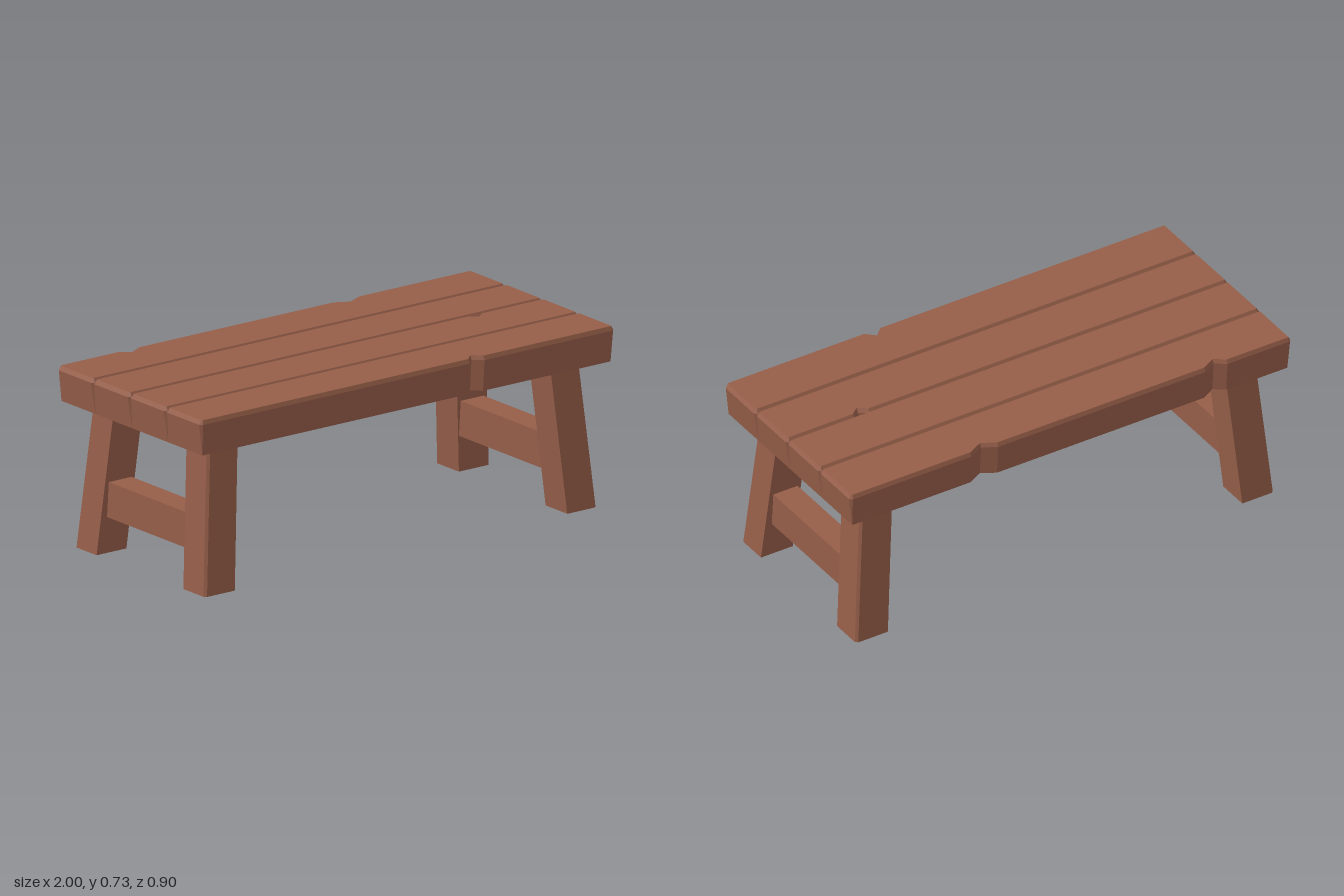
import * as THREE from 'three';

const wood = new THREE.MeshStandardMaterial({ color: 0x965e49 });
wood.name = 'reddish brown wood';

// Flat-faced solid through stacked outlines: levels = [{ y, pts: [[x, z], ...] }], from bottom to top
function loft(levels) {
  const pos = [];
  const tri = (...corners) => corners.forEach(([l, i]) => {
    const [x, z] = levels[l].pts[i];
    pos.push(x, levels[l].y, z);
  });
  const n = levels[0].pts.length, last = levels.length - 1;
  for (let l = 0; l < last; l++) {
    for (let i = 0; i < n; i++) {
      const j = (i + 1) % n;
      tri([l, i], [l, j], [l + 1, j]);
      tri([l, i], [l + 1, j], [l + 1, i]);
    }
  }
  for (const l of [0, last]) {
    const flat = levels[l].pts.map(([x, z]) => new THREE.Vector2(x, -z));
    for (const [a, b, c] of THREE.ShapeUtils.triangulateShape(flat, [])) {
      if (l === 0) tri([l, a], [l, c], [l, b]);
      else tri([l, a], [l, b], [l, c]);
    }
  }
  const geo = new THREE.BufferGeometry();
  geo.setAttribute('position', new THREE.Float32BufferAttribute(pos, 3));
  geo.computeVertexNormals();
  return geo;
}

function addMesh(group, name, geo) {
  const mesh = new THREE.Mesh(geo, wood);
  mesh.name = name;
  group.add(mesh);
  return mesh;
}

// Plank outline with cut corners (c) and V notches [x start, x tip, x end, depth] on either long edge
function plankOutline(hx, zFront, zBack, c, frontNotches, backNotches) {
  const pts = [[-hx, zFront - c], [-hx + c, zFront]];
  for (const [a, m, b, d] of frontNotches) pts.push([a, zFront], [m, zFront - d], [b, zFront]);
  pts.push([hx - c, zFront], [hx, zFront - c], [hx, zBack + c], [hx - c, zBack]);
  for (const [a, m, b, d] of backNotches) pts.push([b, zBack], [m, zBack + d], [a, zBack]);
  pts.push([-hx + c, zBack], [-hx, zBack + c]);
  return pts;
}

export function createModel() {
  const model = new THREE.Group();
  model.name = 'bench';

  // Table top: four bevelled planks, listed front to back
  const planks = [
    { z: [0.451, 0.228], front: [[0.297, 0.334, 0.37, 0.035]], back: [] },
    { z: [0.228, 0.002], front: [], back: [[0.625, 0.66, 0.695, 0.028]] },
    { z: [0.002, -0.228], front: [], back: [] },
    { z: [-0.228, -0.451], front: [], back: [[0.33, 0.388, 0.452, 0.032], [-0.709, -0.666, -0.607, 0.032]] },
  ];
  planks.forEach(({ z: [zf, zb], front, back }, i) => {
    const level = (y, hx, outer, inner, c) => ({
      y,
      pts: plankOutline(hx, zf - (i === 0 ? outer : inner), zb + (i === 3 ? outer : inner), c, front, back),
    });
    addMesh(model, 'plank' + (i + 1), loft([
      level(0.585, 0.986, 0.009, 0, 0.0005),
      level(0.71, 1, 0, 0, 0.011),
      level(0.727, 0.99, 0.007, 0.011, 0.004),
    ]));
  });

  // Splayed legs with a chamfered outer corner
  for (const sx of [1, -1]) {
    for (const sz of [1, -1]) {
      const outline = (xo, xi, zo, zi, c = 0.01) => {
        const pts = [[xi, zo], [xo - c, zo], [xo, zo - c], [xo, zi], [xi, zi]]
          .map(([x, z]) => [x * sx, z * sz]);
        return sx * sz > 0 ? pts : pts.reverse();
      };
      addMesh(model, (sz > 0 ? 'front' : 'back') + (sx > 0 ? 'Left' : 'Right') + 'Leg', loft([
        { y: 0, pts: outline(0.947, 0.803, 0.408, 0.272) },
        { y: 0.588, pts: outline(0.897, 0.755, 0.363, 0.228) },
      ]));
    }
    // Stretcher joining the pair of legs
    const stretcher = addMesh(model, sx > 0 ? 'leftStretcher' : 'rightStretcher',
      new THREE.BoxGeometry(0.11, 0.143, 0.56));
    stretcher.position.set(0.85 * sx, 0.2195, 0);
  }
  return model;
}
